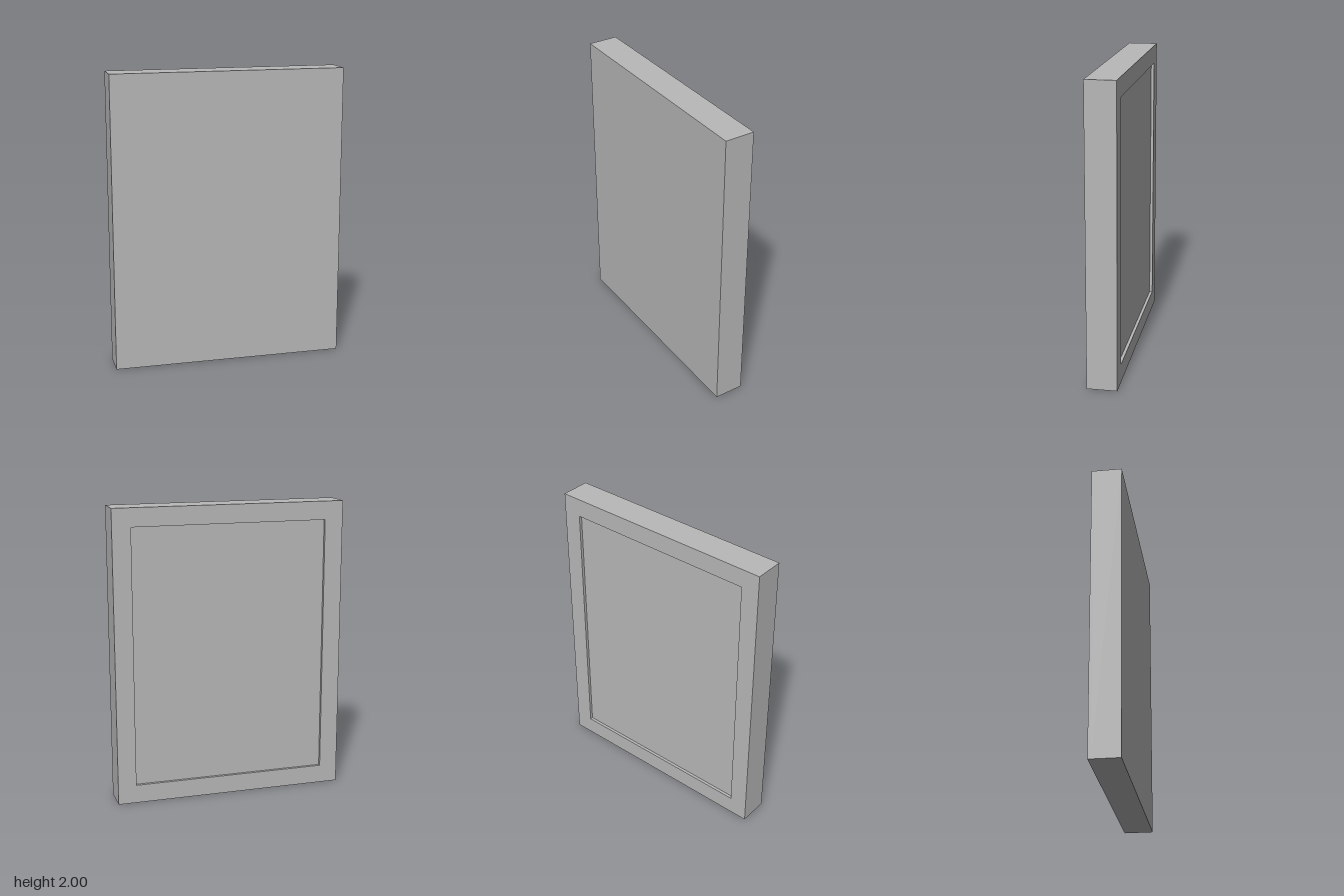
import * as THREE from 'three';

const W = 1.58, H = 2, D = 0.2;     // overall size
const BORDER = 0.125;               // width of the raised rim on the back
const RECESS = 0.02;                // depth of the sunken back panel

// Counter-clockwise rectangle centred on the origin
function rectangle(PathType, w, h) {
  return new PathType([
    new THREE.Vector2(-w / 2, -h / 2),
    new THREE.Vector2(w / 2, -h / 2),
    new THREE.Vector2(w / 2, h / 2),
    new THREE.Vector2(-w / 2, h / 2),
  ]);
}

export function createModel() {
  const model = new THREE.Group();
  model.name = 'panelBoard';

  const grey = new THREE.MeshStandardMaterial({ color: 0xb8b8b8 });
  grey.name = 'plain grey';

  // Solid slab: plain front, and the sunken panel at its back
  const slab = new THREE.Mesh(new THREE.BoxGeometry(W, H, D - RECESS), grey);
  slab.name = 'slab';
  slab.position.set(0, H / 2, RECESS / 2);
  model.add(slab);

  // Raised rim framing the back
  const outline = rectangle(THREE.Shape, W, H);
  outline.holes.push(rectangle(THREE.Path, W - 2 * BORDER, H - 2 * BORDER));
  const rim = new THREE.Mesh(
    new THREE.ExtrudeGeometry(outline, { depth: RECESS, bevelEnabled: false }),
    grey
  );
  rim.name = 'backRim';
  rim.position.set(0, H / 2, -D / 2);
  model.add(rim);

  return model;
}
